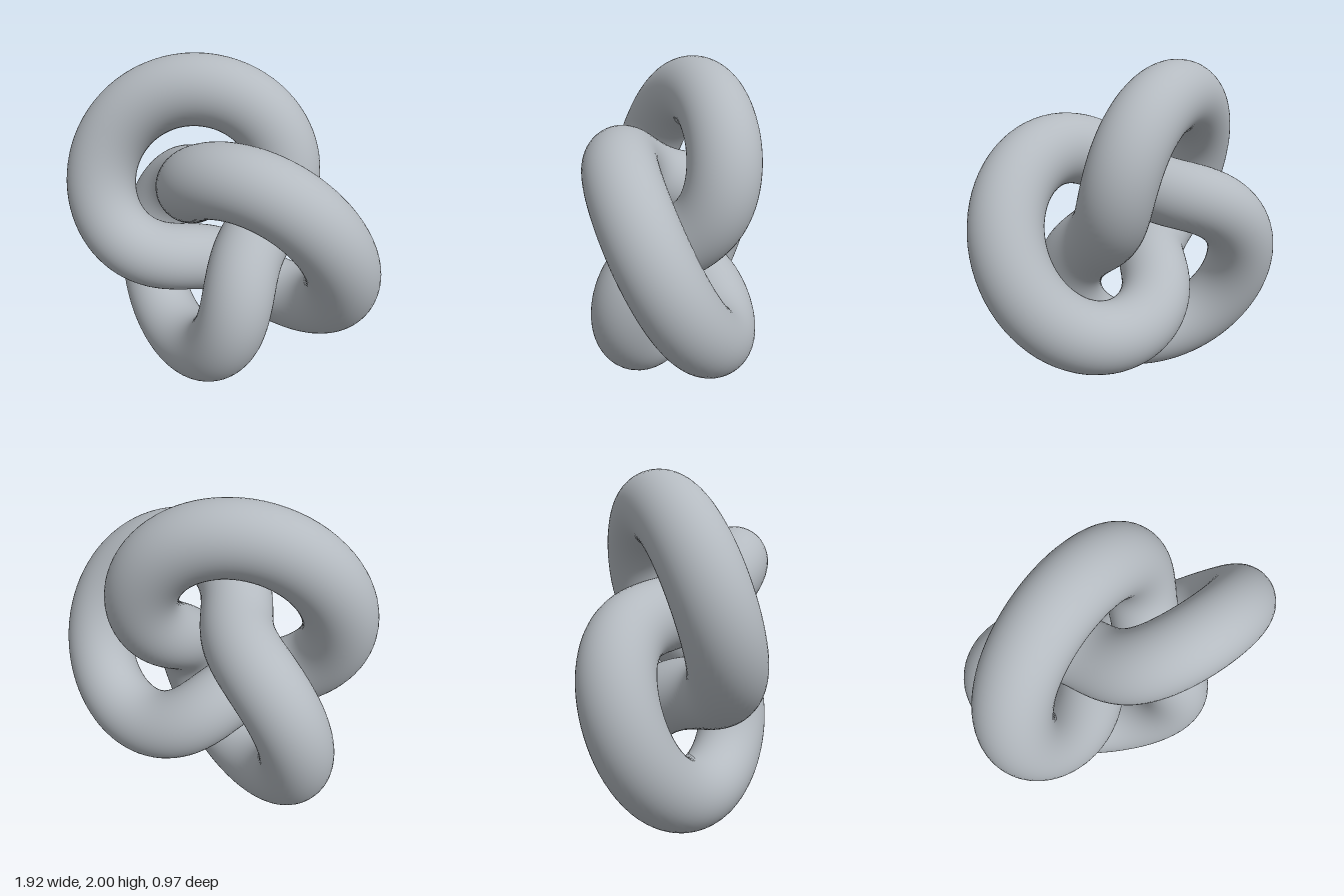
import * as THREE from 'three';

export function createModel() {
  const group = new THREE.Group();
  group.name = 'knotSculpture';

  const paleGrey = new THREE.MeshStandardMaterial({ color: 0xb4bac0 });
  paleGrey.name = 'paleGrey';

  // One closed tube: a trefoil with its first lobe pointing along +x
  const radius = 0.561;
  const tube = 0.2065;
  const knot = new THREE.Mesh(new THREE.TorusKnotGeometry(radius, tube, 256, 48, 2, 3), paleGrey);
  knot.name = 'trefoilTube';

  // Centre the bounds on x and z and rest the lowest lobe on y = 0
  knot.geometry.computeBoundingBox();
  const box = knot.geometry.boundingBox;
  const centre = box.getCenter(new THREE.Vector3());
  knot.position.set(-centre.x, -box.min.y, -centre.z);

  group.add(knot);
  return group;
}
